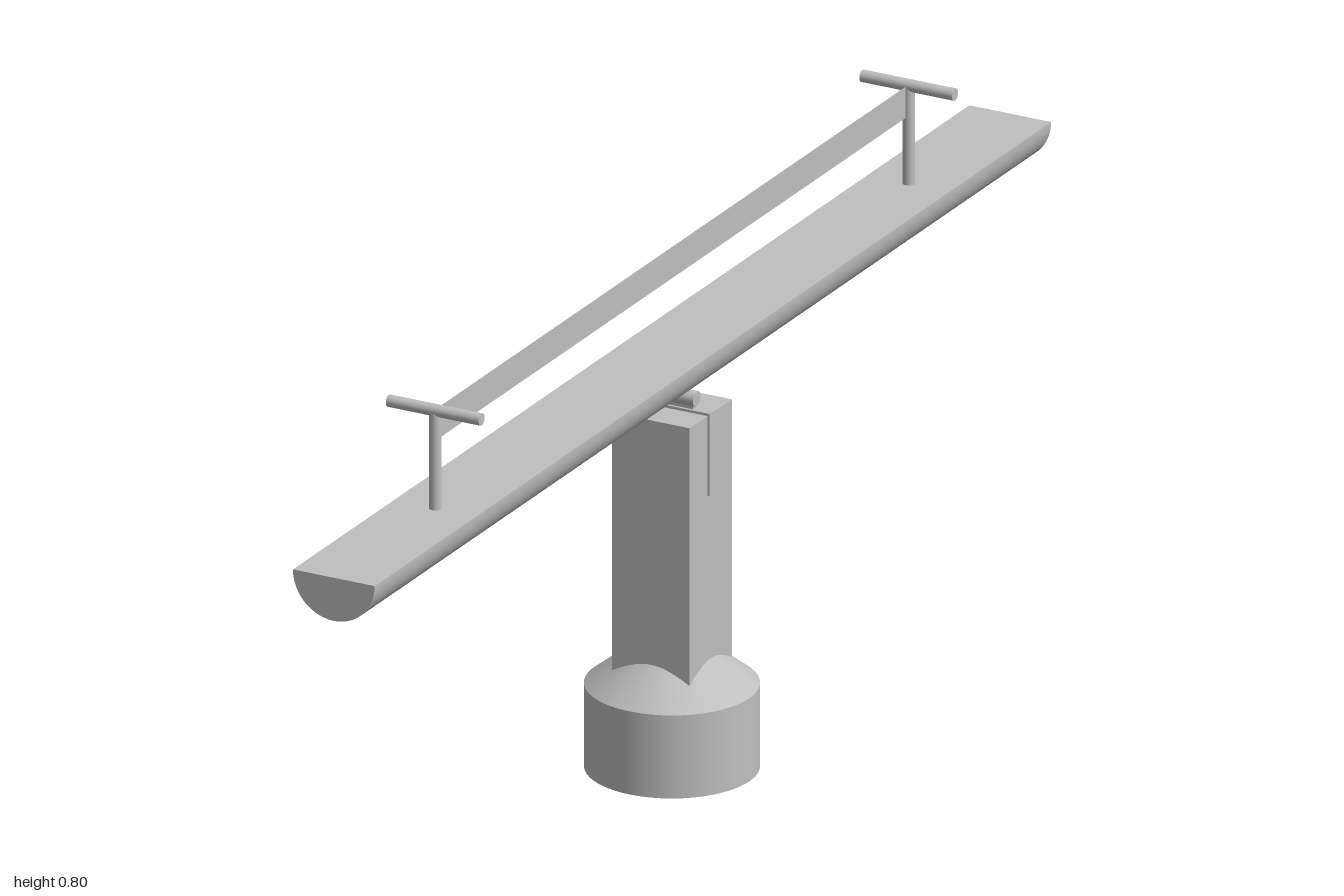
import * as THREE from 'three';

export function createModel() {
  const model = new THREE.Group();
  model.name = 'seesaw';
  const grey = new THREE.MeshStandardMaterial({ color: 0xbfbfbf, side: THREE.DoubleSide });
  grey.name = 'grey';

  const add = (name, geometry, x = 0, y = 0, z = 0) => {
    const mesh = new THREE.Mesh(geometry, grey);
    mesh.name = name;
    mesh.position.set(x, y, z);
    model.add(mesh);
    return mesh;
  };
  const crossRod = (r, length) => new THREE.CylinderGeometry(r, r, length, 24).rotateZ(Math.PI / 2);

  // Round footing with a conical shoulder
  add('footing', new THREE.CylinderGeometry(0.125, 0.125, 0.127, 64), 0, 0.0635);
  add('footingShoulder', new THREE.CylinderGeometry(0.05, 0.125, 0.059, 64, 1, true), 0, 0.1565);

  // Square post
  add('post', new THREE.BoxGeometry(0.125, 0.4, 0.125), 0, 0.35);

  // Metal strap folded over the top of the post
  add('strapTop', new THREE.BoxGeometry(0.132, 0.004, 0.02), 0, 0.552);
  for (const side of [-1, 1]) {
    add('strapSide', new THREE.BoxGeometry(0.0035, 0.124, 0.02), side * 0.06425, 0.49);
  }

  // Pivot on top of the strap
  add('pivotPlate', new THREE.BoxGeometry(0.074, 0.015, 0.012), 0, 0.5605);
  add('pivotRod', crossRod(0.0115, 0.08), 0, 0.5685);

  // Half-round beam, flat side up
  const beam = new THREE.CylinderGeometry(0.066, 0.066, 2, 48, 1, false, -Math.PI / 2, Math.PI);
  add('beam', beam.rotateX(Math.PI / 2), 0, 0.642);
  add('beamTop', new THREE.PlaneGeometry(0.132, 2).rotateX(-Math.PI / 2), 0, 0.642);

  // T-shaped handles near both ends
  for (const end of [-1, 1]) {
    add('handlePost', new THREE.CylinderGeometry(0.009, 0.009, 0.15, 24), 0, 0.714, end * 0.7);
    add('handleBar', crossRod(0.009, 0.15), 0, 0.792, end * 0.7);
  }

  // Thin web between the handles
  add('handleWeb', new THREE.PlaneGeometry(1.39, 0.048).rotateY(Math.PI / 2), 0, 0.769);

  return model;
}
